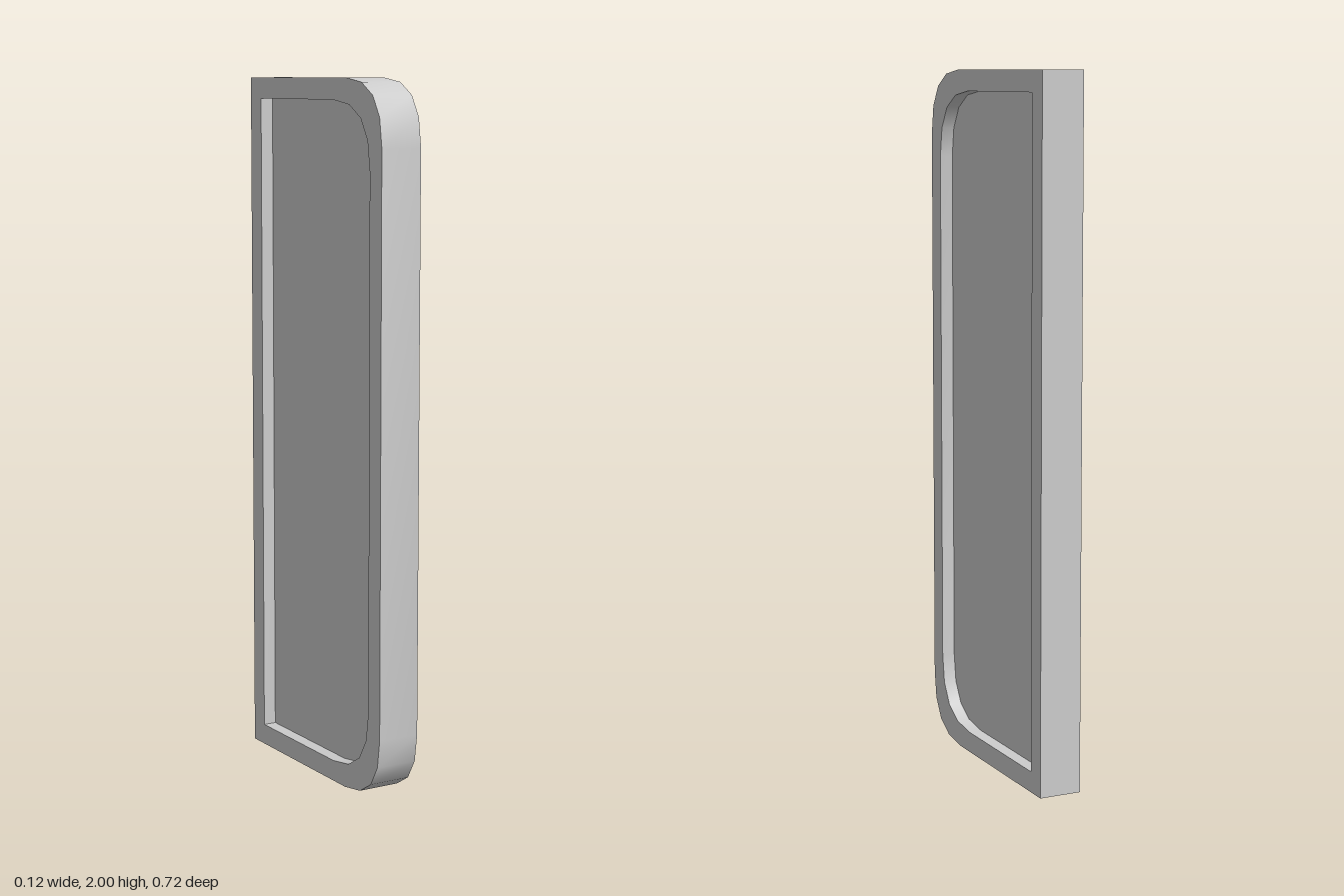
import * as THREE from 'three';
import { toCreasedNormals } from 'three/addons/utils/BufferGeometryUtils.js';

const HALF_DEPTH = 0.358, HEIGHT = 2, THICKNESS = 0.124;
const RIM = 0.06, RECESS = 0.038;

// Side outline (shape x runs towards the back), inset from the edge, with both front corners rounded
function outline(PathType, inset, r) {
  const f = -HALF_DEPTH + inset, b = HALF_DEPTH - inset;
  const lo = inset, hi = HEIGHT - inset;
  const p = new PathType();
  p.moveTo(b, lo);
  p.lineTo(b, hi);
  p.lineTo(f + r, hi);
  p.quadraticCurveTo(f, hi, f, hi - r);
  p.lineTo(f, lo + r);
  p.quadraticCurveTo(f, lo, f + r, lo);
  p.lineTo(b, lo);
  return p;
}

// Extrude a side outline across x, centred, with smooth corners and sharp edges
function slab(name, shape, depth, material) {
  let geo = new THREE.ExtrudeGeometry(shape, { depth, bevelEnabled: false, curveSegments: 4 });
  geo.translate(0, 0, -depth / 2);
  geo.rotateY(Math.PI / 2);
  geo = toCreasedNormals(geo, 0.65);
  const mesh = new THREE.Mesh(geo, material);
  mesh.name = name;
  return mesh;
}

export function createModel() {
  const group = new THREE.Group();
  group.name = 'recessedPanel';
  const material = new THREE.MeshStandardMaterial({ color: 0xcccccc });

  // Raised rim around the edge
  const rim = outline(THREE.Shape, 0, 0.185);
  rim.holes.push(outline(THREE.Path, RIM, 0.19));
  group.add(slab('rim', rim, THICKNESS, material));

  // Thinner panel, recessed on both sides
  const panel = outline(THREE.Shape, RIM, 0.19);
  group.add(slab('centrePanel', panel, THICKNESS - 2 * RECESS, material));

  return group;
}
